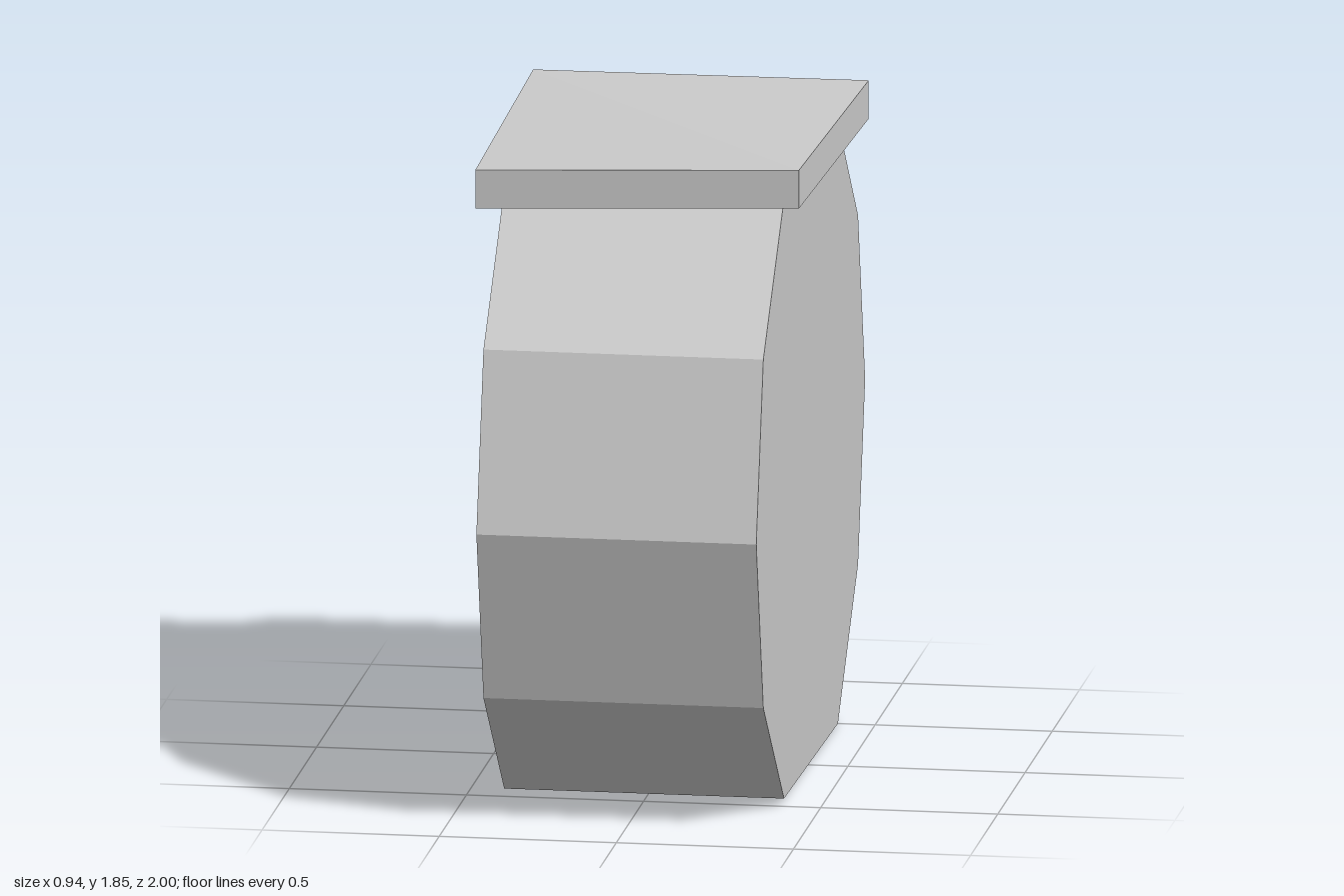
import * as THREE from 'three';

const material = new THREE.MeshStandardMaterial({ color: 0xcccccc, flatShading: true });

// Faceted drum: side profile (z, y) extruded across x
function makeDrum() {
  const profile = [
    [1, 0.87], [0.87, 1.37], [0.5, 1.73], [-0.5, 1.73], [-0.87, 1.37],
    [-1, 0.87], [-0.87, 0.37], [-0.5, 0], [0.49, 0.02], [0.87, 0.37],
  ];
  const width = 0.79;
  const shape = new THREE.Shape(profile.map(([z, y]) => new THREE.Vector2(z, y)));
  const geometry = new THREE.ExtrudeGeometry(shape, { depth: width, bevelEnabled: false });
  geometry.rotateY(-Math.PI / 2).translate(width / 2, 0, 0);
  const drum = new THREE.Mesh(geometry, material);
  drum.name = 'drum';
  return drum;
}

// Slightly warped lid: box corners moved to uneven positions
function makeLid() {
  const thickness = 0.11;
  const corners = {
    frontLeft: [0.45, 1.845, 0.575],
    frontRight: [-0.465, 1.81, 0.565],
    backLeft: [0.47, 1.83, -0.578],
    backRight: [-0.475, 1.83, -0.564],
  };
  // The quarter turn sets the direction of the fold across the top
  const geometry = new THREE.BoxGeometry(1, 1, 1).rotateY(Math.PI / 2);
  const position = geometry.attributes.position;
  for (let i = 0; i < position.count; i++) {
    const end = position.getZ(i) > 0 ? 'front' : 'back';
    const side = position.getX(i) > 0 ? 'Left' : 'Right';
    const [x, y, z] = corners[end + side];
    position.setXYZ(i, x, position.getY(i) > 0 ? y : y - thickness, z);
  }
  geometry.computeVertexNormals();
  const lid = new THREE.Mesh(geometry, material);
  lid.name = 'lid';
  return lid;
}

export function createModel() {
  const group = new THREE.Group();
  group.name = 'liddedDrum';
  group.add(makeDrum(), makeLid());
  return group;
}
